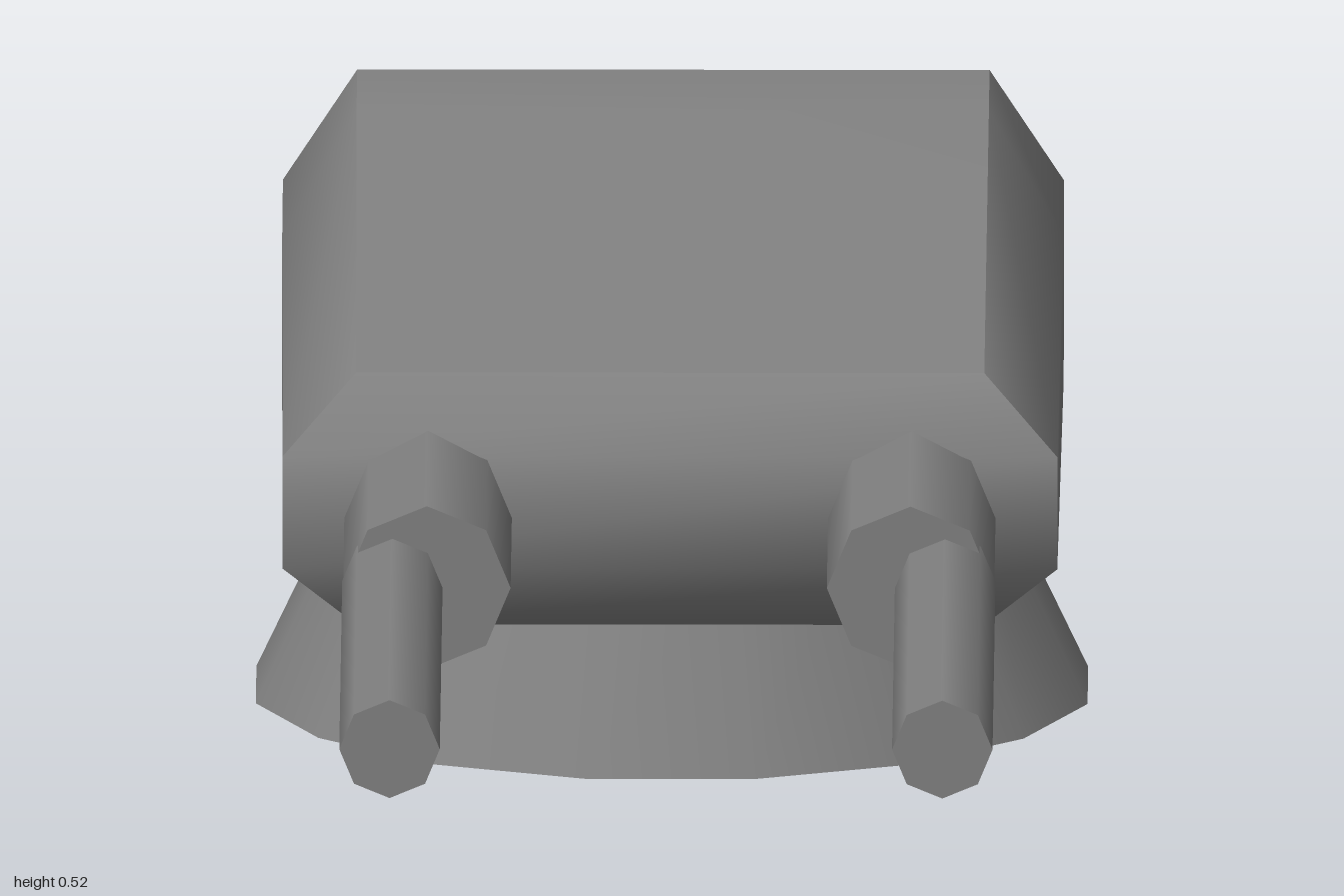
import * as THREE from 'three';

// Smooth surface through a grid of points; order of corners can be flipped
function patch(rows, flip) {
  const n = rows[0].length, index = [];
  for (let i = 0; i < rows.length - 1; i++) {
    for (let j = 0; j < n - 1; j++) {
      const a = i * n + j, b = a + 1, c = a + n, d = c + 1;
      index.push(...(flip ? [a, b, c, b, d, c] : [a, c, b, b, c, d]));
    }
  }
  const g = new THREE.BufferGeometry();
  g.setAttribute('position', new THREE.Float32BufferAttribute(rows.flat(2), 3));
  g.setIndex(index);
  g.computeVertexNormals();
  return g;
}

export function createModel() {
  const model = new THREE.Group();
  model.name = 'gunTurret';
  const grey = new THREE.MeshStandardMaterial({ color: 0x808080, side: THREE.DoubleSide });
  grey.name = 'grey';

  const add = (name, geometry, parent = model) => {
    const mesh = new THREE.Mesh(geometry, grey);
    mesh.name = name;
    parent.add(mesh);
    return mesh;
  };

  // Open conical base
  add('base', new THREE.CylinderGeometry(0.31, 0.405, 0.2, 16, 1, true, Math.PI / 16))
    .position.set(0, 0.1, -0.475);

  // Hull: cross-sections from front to back, each from top edge to bottom edge (right half)
  const stations = [
    [[0.3, 0.405, -0.05], [0.37, 0.34, 0.025], [0.37, 0.23, 0.025], [0.3, 0.158, -0.05]],
    [[0.302, 0.523, -0.65], [0.373, 0.4, -0.65], [0.373, 0.245, -0.65], [0.302, 0.15, -0.65]],
    [[0.302, 0.523, -0.82], [0.373, 0.415, -0.82], [0.373, 0.25, -0.82], [0.302, 0.147, -0.82]],
    [[0.302, 0.523, -0.82], [0.337, 0.37, -1], [0.337, 0.3, -1], [0.302, 0.147, -0.82]],
  ];
  const mirror = ([x, y, z]) => [-x, y, z];
  const across = points => points.map(p => [mirror(p), p]);
  const hull = new THREE.Group();
  hull.name = 'hull';
  model.add(hull);

  add('leftSide', patch(stations, false), hull);
  add('rightSide', patch(stations.map(s => s.map(mirror)), true), hull);
  add('frontPlate', patch(across(stations[0]), false), hull);
  add('backPlate', patch(across(stations[3]), true), hull);
  add('roof', patch(across(stations.slice(0, 3).map(s => s[0])), true), hull);
  add('floor', patch(across(stations.slice(0, 3).map(s => s[3])), false), hull);

  // Twin guns: thick sleeve with a thin barrel set towards the outside
  for (const side of [1, -1]) {
    const gun = new THREE.Group();
    gun.name = side > 0 ? 'leftGun' : 'rightGun';
    model.add(gun);
    const tube = (name, r, x, z0, z1) => {
      const g = new THREE.CylinderGeometry(r, r, z1 - z0, 8).rotateX(Math.PI / 2);
      add(name, g, gun).position.set(side * x, 0.28, (z0 + z1) / 2);
    };
    tube('sleeve', 0.08, 0.231, -0.03, 0.32);
    tube('barrel', 0.048, 0.264, 0.29, 1);
  }
  return model;
}
